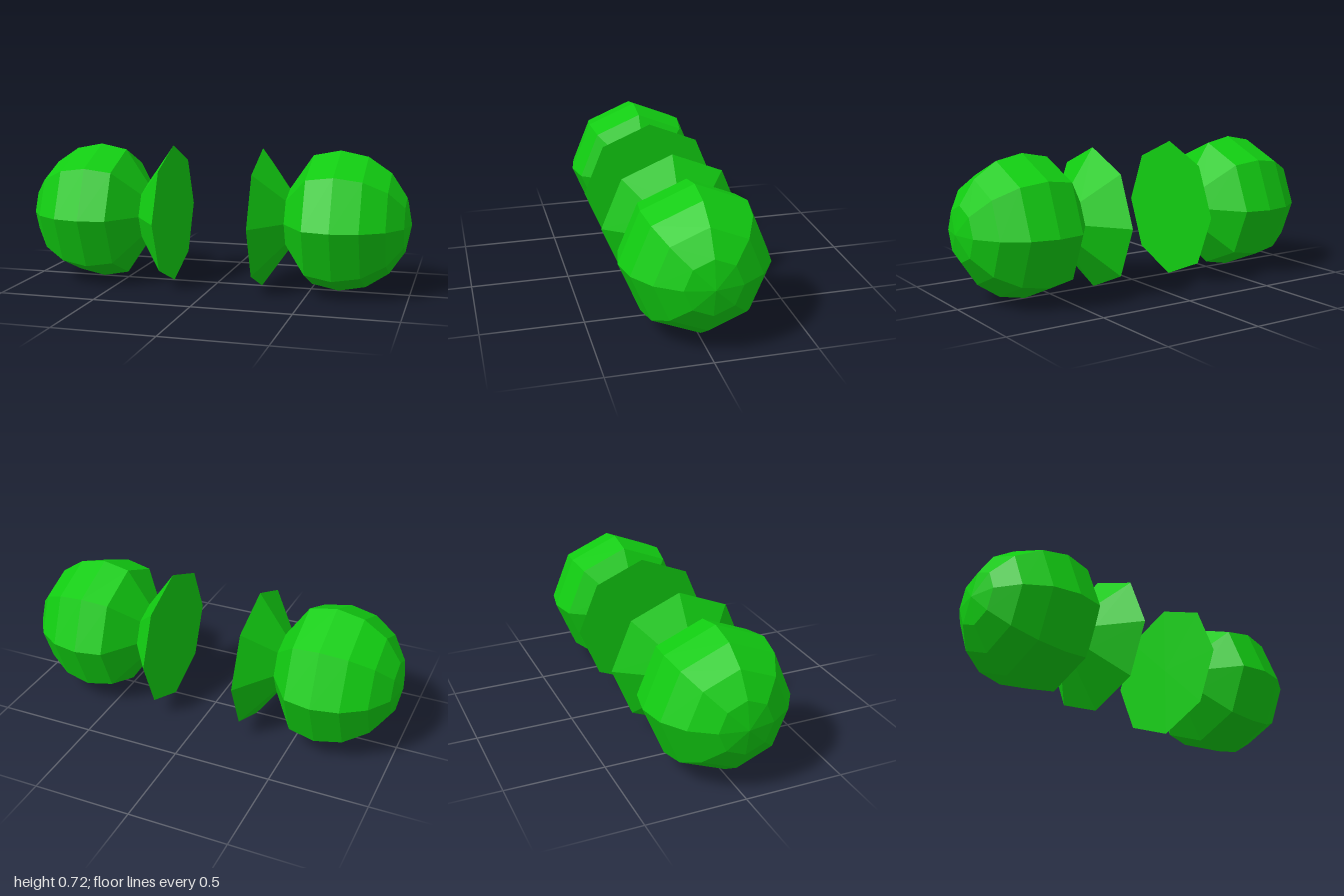
import * as THREE from 'three';

const R = 0.36, CENTRE_X = 0.64, SIDES = 8;

// Outline as (radius, distance from the middle), inner end first
function knobProfile() {
  const points = [
    new THREE.Vector2(0, 0.24), // flat inner face
    new THREE.Vector2(R, 0.24), // flared rim
    new THREE.Vector2(0.157, 0.383), // narrow neck
  ];
  // Faceted ball, from just behind its widest ring to its pole
  for (let i = 5; i >= 0; i--) {
    const a = (i * Math.PI) / 8;
    points.push(new THREE.Vector2(R * Math.sin(a), CENTRE_X + R * Math.cos(a)));
  }
  return points;
}

export function createModel() {
  const model = new THREE.Group();
  const material = new THREE.MeshStandardMaterial({ color: 0x11cc11, flatShading: true });
  const geometry = new THREE.LatheGeometry(knobProfile(), SIDES);

  // One knob on each side, flared ends facing each other
  for (const side of [1, -1]) {
    const knob = new THREE.Mesh(geometry, material);
    knob.name = side > 0 ? 'leftKnob' : 'rightKnob';
    knob.rotation.z = (-side * Math.PI) / 2;
    knob.position.y = R;
    model.add(knob);
  }
  return model;
}
